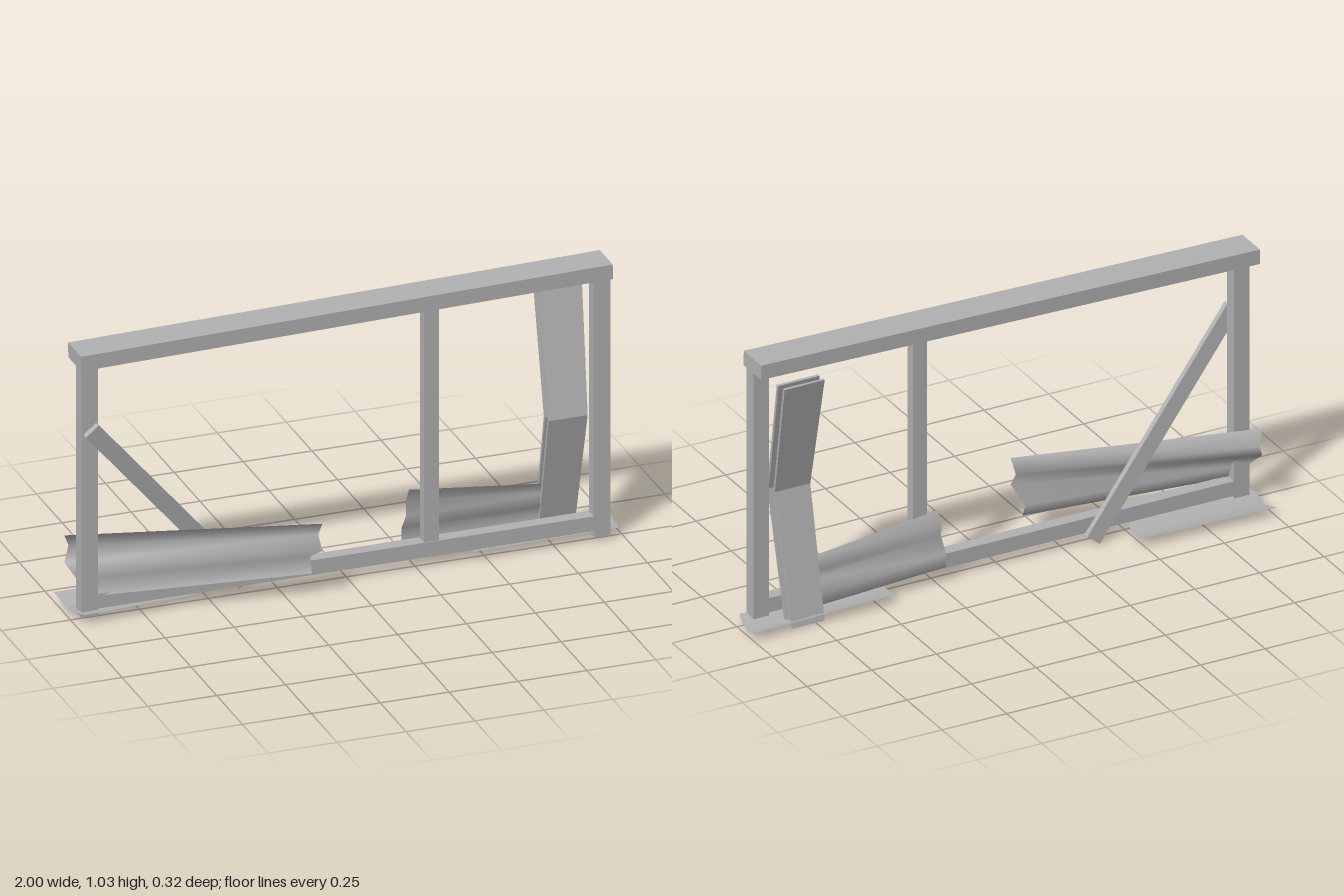
import * as THREE from 'three';

export function createModel() {
  const group = new THREE.Group();
  const grey = new THREE.MeshStandardMaterial({ color: 0xb2b2b2, side: THREE.DoubleSide });

  const add = (name, geometry) => {
    const mesh = new THREE.Mesh(geometry, grey);
    mesh.name = name;
    group.add(mesh);
    return mesh;
  };

  // Upright or level timber given by its min and max corners
  const timber = (name, x0, x1, y0, y1, z0, z1) => {
    const mesh = add(name, new THREE.BoxGeometry(x1 - x0, y1 - y0, z1 - z0));
    mesh.position.set((x0 + x1) / 2, (y0 + y1) / 2, (z0 + z1) / 2);
    return mesh;
  };

  // Corrugated sheet lofted between two end sections of [x, y, z] points
  const sheet = (name, endA, endB) => {
    const n = endA.length, pos = [], index = [];
    for (const p of [...endA, ...endB]) pos.push(...p);
    for (let i = 0; i < n - 1; i++) {
      index.push(i, i + 1, n + i, i + 1, n + i + 1, n + i);
    }
    const g = new THREE.BufferGeometry();
    g.setAttribute('position', new THREE.Float32BufferAttribute(pos, 3));
    g.setIndex(index);
    g.computeVertexNormals();
    return add(name, g);
  };

  // Main frame
  timber('rightPost', -0.97, -0.91, 0.015, 0.955, -0.025, 0.025);
  timber('leftPost', 0.89, 0.95, 0.015, 0.985, -0.025, 0.025);
  timber('middlePost', 0.275, 0.33, 0.09, 0.975, -0.02, 0.02);
  timber('bottomRail', -0.915, 0.895, 0.04, 0.095, -0.024, 0.024);

  // Top beam, rising slightly towards the left post
  const beam = timber('topBeam', -0.975, 0.955, 0.9595, 1.0145, -0.09, 0.035);
  beam.rotation.z = 0.018;

  // Loose brace leaning from the post down behind the rail
  const from = new THREE.Vector3(-0.945, 0.725, 0.052);
  const to = new THREE.Vector3(-0.35, 0.022, -0.045);
  const brace = add('diagonalBrace', new THREE.BoxGeometry(0.06, from.distanceTo(to), 0.022));
  brace.position.copy(from).add(to).multiplyScalar(0.5);
  brace.quaternion.setFromUnitVectors(new THREE.Vector3(0, 1, 0), from.clone().sub(to).normalize());

  // Two bent upright sheets, one behind the other, tapering downwards
  const bentSheet = (name, z, apexZ, topWidth, bottomWidth) => {
    const t = 0.006, line = [[0.928, z], [0.485, apexZ], [0.006, z]];
    const outline = [
      ...line.map(([y, d]) => new THREE.Vector2(-d - t, y)),
      ...line.reverse().map(([y, d]) => new THREE.Vector2(-d + t, y)),
    ];
    const g = new THREE.ExtrudeGeometry(new THREE.Shape(outline), { depth: 1, bevelEnabled: false });
    g.rotateY(Math.PI / 2);
    const p = g.attributes.position;
    for (let i = 0; i < p.count; i++) {
      const width = THREE.MathUtils.lerp(bottomWidth, topWidth, Math.max(0, (p.getY(i) - 0.2) / 0.73));
      p.setX(i, 0.72 + p.getX(i) * width);
    }
    g.computeVertexNormals();
    add(name, g);
  };
  bentSheet('bentSheetFront', -0.069, 0.034, 0.16, 0.13);
  bentSheet('bentSheetBack', -0.104, -0.001, 0.155, 0.125);

  // Corrugated sheet passing through the frame beside the right post
  sheet('rightCorrugatedSheet',
    [[-1, 0.292, -0.06], [-0.975, 0.24, -0.088], [-1, 0.19, -0.06], [-0.97, 0.14, -0.015], [-0.97, 0.088, 0.015]],
    [[-0.145, 0.292, 0.158], [-0.15, 0.24, 0.13], [-0.145, 0.19, 0.158], [-0.16, 0.14, 0.082], [-0.165, 0.088, 0.11]]);

  // Shorter corrugated sheet behind the middle post
  sheet('leftCorrugatedSheet',
    [[0.24, 0.275, -0.032], [0.237, 0.225, -0.054], [0.23, 0.175, -0.036], [0.228, 0.12, -0.07], [0.22, 0.06, -0.052]],
    [[0.79, 0.212, -0.034], [0.787, 0.17, -0.056], [0.78, 0.13, -0.04], [0.778, 0.085, -0.075], [0.77, 0.035, -0.058]]);

  // Shallow sheets lying on the ground under each end
  sheet('rightGroundSheet',
    [[-1, 0.036, -0.163], [-0.99, 0.018, -0.09], [-1, 0.03, -0.02], [-0.97, 0.038, 0.055]],
    [[-0.48, 0.04, -0.15], [-0.485, 0.026, -0.09], [-0.5, 0.034, -0.03], [-0.56, 0.038, 0.028]]);
  sheet('leftGroundSheet',
    [[0.44, 0.038, -0.11], [0.44, 0.026, -0.06], [0.45, 0.034, -0.01], [0.45, 0.038, 0.034]],
    [[1, 0.036, -0.13], [1, 0.02, -0.08], [0.995, 0.028, -0.03], [0.98, 0.036, 0.02]]);

  return group;
}
